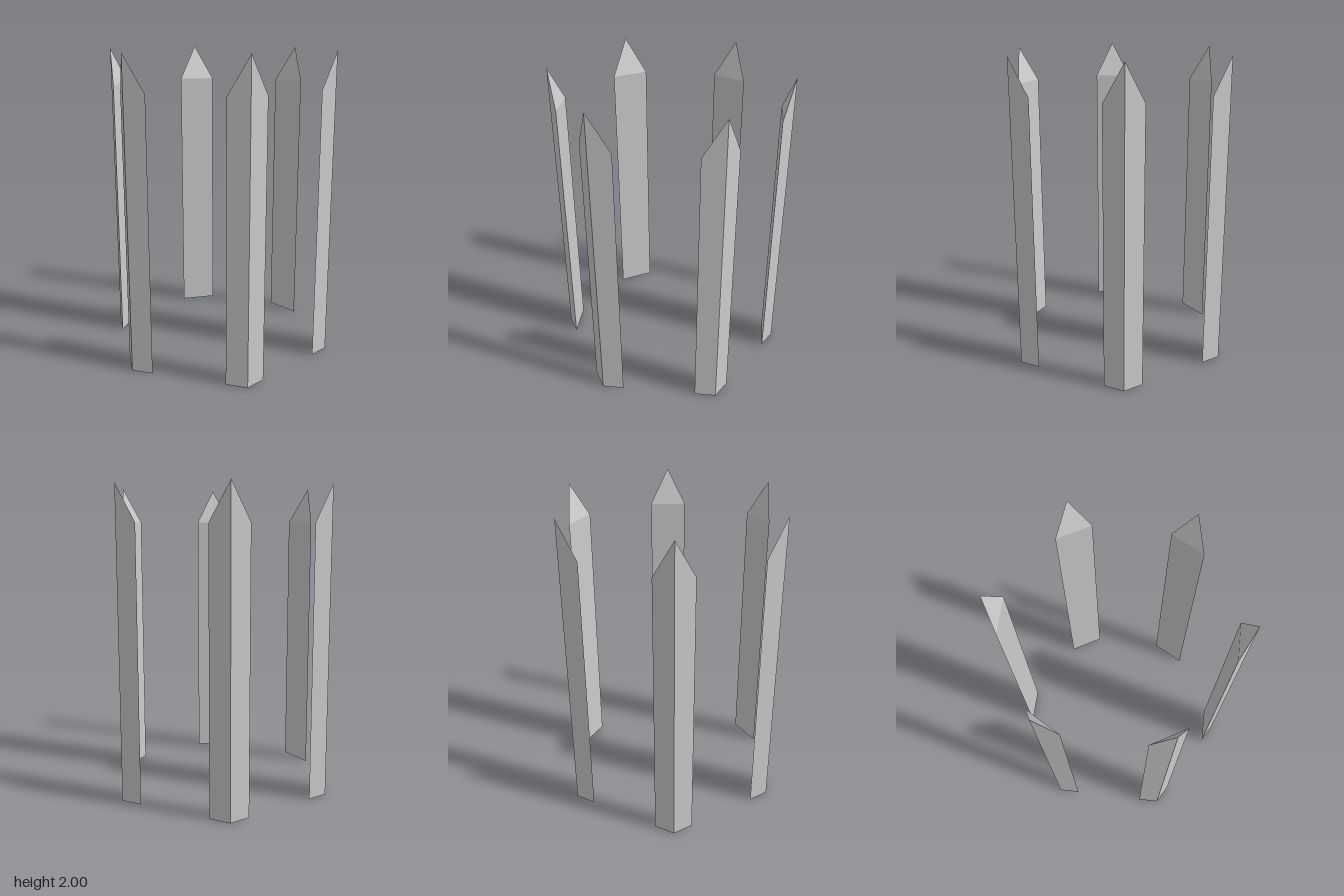
import * as THREE from 'three';

const COUNT = 6;
const OUTER = 0.764;      // radius of the sharp outer edge
const INNER = 0.694;      // distance of the flat inner face
const HALF_WIDTH = 0.121;
const TIP = 2, SHOULDER = 1.765;

// Triangular post whose top slopes from the outer tip down to the inner face
function postGeometry() {
  const section = new THREE.Shape([
    new THREE.Vector2(OUTER, 0),
    new THREE.Vector2(INNER, HALF_WIDTH),
    new THREE.Vector2(INNER, -HALF_WIDTH),
  ]);
  const geometry = new THREE.ExtrudeGeometry(section, { depth: TIP, bevelEnabled: false });
  geometry.rotateX(-Math.PI / 2);
  const pos = geometry.attributes.position;
  for (let i = 0; i < pos.count; i++) {
    if (pos.getY(i) > 1 && pos.getX(i) < (INNER + OUTER) / 2) pos.setY(i, SHOULDER);
  }
  geometry.computeVertexNormals();
  return geometry;
}

export function createModel() {
  const model = new THREE.Group();
  model.name = 'postRing';
  const material = new THREE.MeshStandardMaterial({ color: 0xcccccc, flatShading: true });
  const geometry = postGeometry();

  // Posts evenly spaced around a circle, one on each side of x
  for (let i = 0; i < COUNT; i++) {
    const post = new THREE.Mesh(geometry, material);
    post.name = `post${i + 1}`;
    post.rotation.y = (i / COUNT) * Math.PI * 2;
    model.add(post);
  }
  return model;
}
